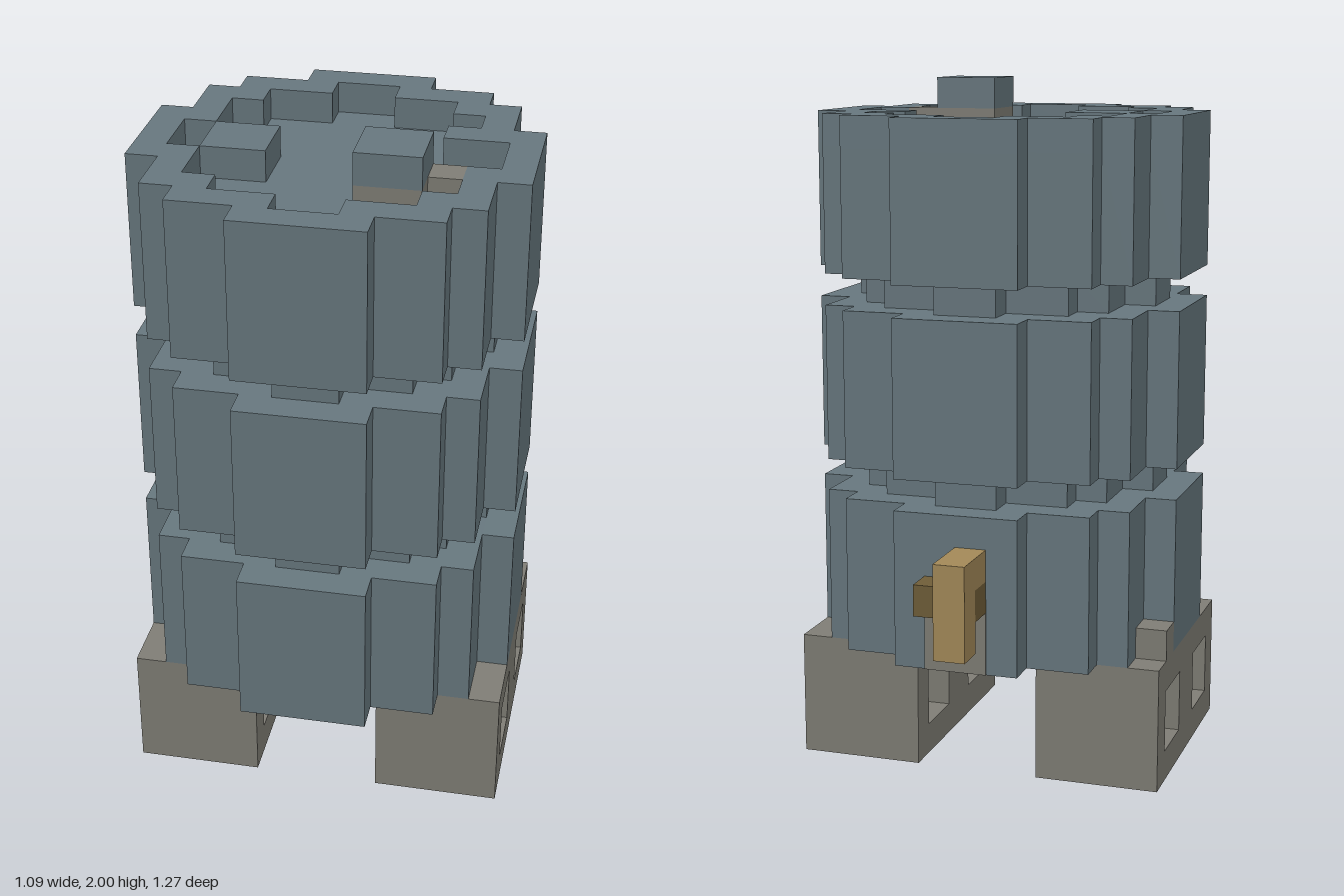
import * as THREE from 'three';

const mat = (name, color) => {
  const m = new THREE.MeshStandardMaterial({ color });
  m.name = name;
  return m;
};

export function createModel() {
  const slate = mat('slate', 0x67777e);
  const stone = mat('stone', 0x7f7d75);
  const brass = mat('brass', 0xa38958);
  const darkBrass = mat('dark brass', 0x6f5d38);

  // Everything is laid out on a grid of unit cells, eleven to one world unit
  const model = new THREE.Group();
  model.name = 'barrelOnBlocks';
  model.scale.setScalar(1 / 11);

  const add = (name, geometry, material) => {
    const mesh = new THREE.Mesh(geometry, material);
    mesh.name = name;
    model.add(mesh);
    return mesh;
  };
  const box = (name, material, [x0, x1], [y0, y1], [z0, z1]) =>
    add(name, new THREE.BoxGeometry(x1 - x0, y1 - y0, z1 - z0), material)
      .position.set((x0 + x1) / 2, (y0 + y1) / 2, (z0 + z1) / 2);

  // Stepped circle: one quarter of corners mirrored around both axes
  const steppedCircle = (quarter) => {
    const back = [...quarter].reverse();
    return [
      ...back,
      ...quarter.map(([x, y]) => [-x, y]),
      ...back.map(([x, y]) => [-x, -y]),
      ...quarter.map(([x, y]) => [x, -y]),
    ].map(([x, y]) => new THREE.Vector2(x, y));
  };
  const outer = steppedCircle([[2, 6], [2, 5], [4, 5], [4, 4], [5, 4], [5, 2], [6, 2]]);
  const inner = steppedCircle([[1, 5], [1, 4], [3, 4], [3, 3], [4, 3], [4, 1], [5, 1]]);

  // Upright slab of the barrel, whose axis stands at z = 1
  const slab = (name, outline, y0, y1, hole) => {
    const shape = new THREE.Shape(outline);
    if (hole) shape.holes.push(new THREE.Path(hole));
    const g = new THREE.ExtrudeGeometry(shape, { depth: y1 - y0, bevelEnabled: false });
    g.rotateX(-Math.PI / 2).translate(0, y0, 1);
    add(name, g, slate);
  };
  slab('lowerBand', outer, 4, 9);
  slab('lowerGroove', inner, 9, 10);
  slab('middleBand', outer, 10, 15);
  slab('upperGroove', inner, 15, 16);
  slab('upperBand', outer, 16, 20);
  slab('rim', outer, 20, 21, inner);

  // Details in the sunken lid
  box('rimTab', slate, [3, 4], [20, 21], [-1, 0]);
  box('lidBlock', slate, [-4, -2], [20, 21], [0, 2]);
  box('knobBase', stone, [1, 3], [20, 21], [2, 4]);
  box('knobBaseStep', stone, [3, 4], [20, 21], [2, 3]);
  box('knob', slate, [1, 3], [21, 22], [2, 4]);

  // Two hollow building blocks as feet, with holes running sideways
  const rect = (Type, x0, y0, x1, y1) =>
    new Type([[x0, y0], [x1, y0], [x1, y1], [x0, y1]].map(([x, y]) => new THREE.Vector2(x, y)));
  for (const [name, x] of [['leftBlock', 2], ['rightBlock', -6]]) {
    const shape = rect(THREE.Shape, -5, 0, 3, 4);
    for (const h of [-4, 0]) shape.holes.push(rect(THREE.Path, h, 1, h + 2, 3));
    const g = new THREE.ExtrudeGeometry(shape, { depth: 4, bevelEnabled: false });
    add(name, g.rotateY(Math.PI / 2).translate(x, 0, 0), stone);
  }
  box('blockChip', stone, [-6, -5], [4, 5], [-2, -1]);

  // Tap on the back, with a stone patch below it
  box('tapPatch', stone, [-1, 1], [4, 6], [-5.04, -5]);
  box('tapValve', darkBrass, [-1, 1], [6, 7], [-6, -5]);
  box('tapArm', brass, [-1, 0], [7, 8], [-6, -5]);
  box('tapSpout', brass, [-1, 0], [5, 8], [-7, -6]);

  return model;
}
